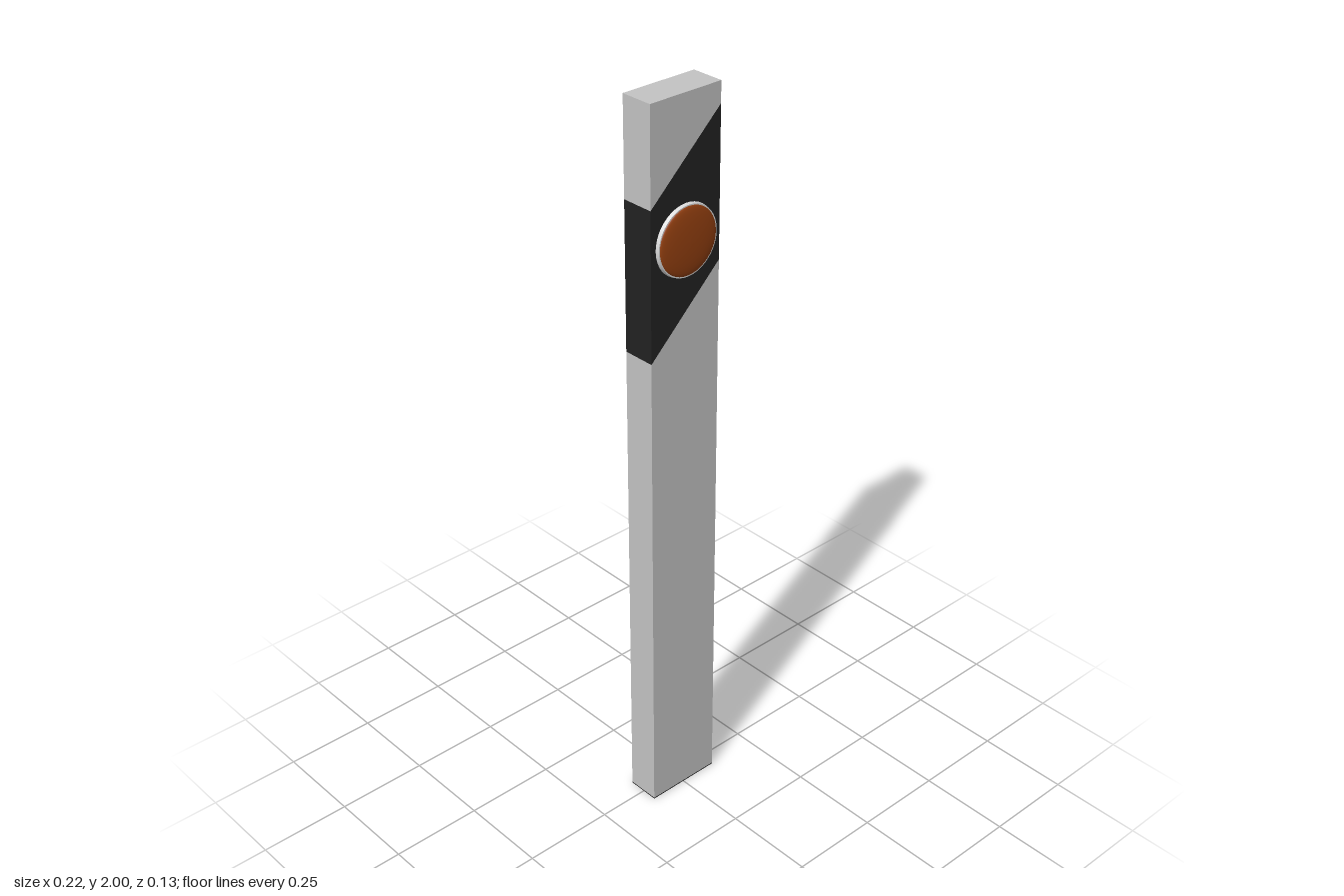
import * as THREE from 'three';

const material = (name, color) => {
  const m = new THREE.MeshStandardMaterial({ color });
  m.name = name;
  return m;
};

export function createModel() {
  const grey = material('post grey', 0xc4c4c4);
  const black = material('band black', 0x222222);
  const orange = material('reflector orange', 0x954010);
  const silver = material('rim silver', 0xdadada);

  const group = new THREE.Group();
  group.name = 'roadsidePost';
  const add = (name, geometry, mat, parent = group) => {
    const mesh = new THREE.Mesh(geometry, mat);
    mesh.name = name;
    parent.add(mesh);
    return mesh;
  };

  const halfWidth = 0.108, back = -0.047, front = 0.043;

  // Post sections: slices of the same slab, cut by sloping lines
  const section = (name, bottomL, bottomR, topL, topR, mat) => {
    const shape = new THREE.Shape([
      new THREE.Vector2(-halfWidth, bottomL),
      new THREE.Vector2(halfWidth, bottomR),
      new THREE.Vector2(halfWidth, topR),
      new THREE.Vector2(-halfWidth, topL),
    ]);
    const geometry = new THREE.ExtrudeGeometry(shape, { depth: front - back, bevelEnabled: false });
    add(name, geometry.translate(0, 0, back), mat);
  };
  section('baseEnd', 0, 0, 0.003, 0.003, black);
  section('lowerPost', 0.003, 0.003, 1.35, 1.555, grey);
  section('slantedBand', 1.35, 1.555, 1.745, 1.945, black);
  section('upperPost', 1.745, 1.945, 2, 2, grey);

  // Round reflectors on both faces: a tapered rim and a shallow domed lens
  const rimHeight = 0.009, domeHeight = 0.01, lensRadius = 0.088;
  const domeProfile = [];
  for (let i = 0; i <= 10; i++) {
    const a = (i / 10) * Math.PI / 2;
    domeProfile.push(new THREE.Vector2(lensRadius * Math.cos(a), rimHeight + domeHeight * Math.sin(a)));
  }
  domeProfile[10].x = 0;
  for (const side of [1, -1]) {
    const reflector = new THREE.Group();
    reflector.name = side > 0 ? 'frontReflector' : 'backReflector';
    const rim = new THREE.CylinderGeometry(0.091, 0.093, rimHeight, 40).translate(0, rimHeight / 2, 0);
    add('rim', rim, silver, reflector);
    add('lens', new THREE.LatheGeometry(domeProfile, 40), orange, reflector);
    reflector.position.set(0, 1.64, side > 0 ? front : back);
    reflector.rotation.x = side * Math.PI / 2;
    group.add(reflector);
  }
  return group;
}
